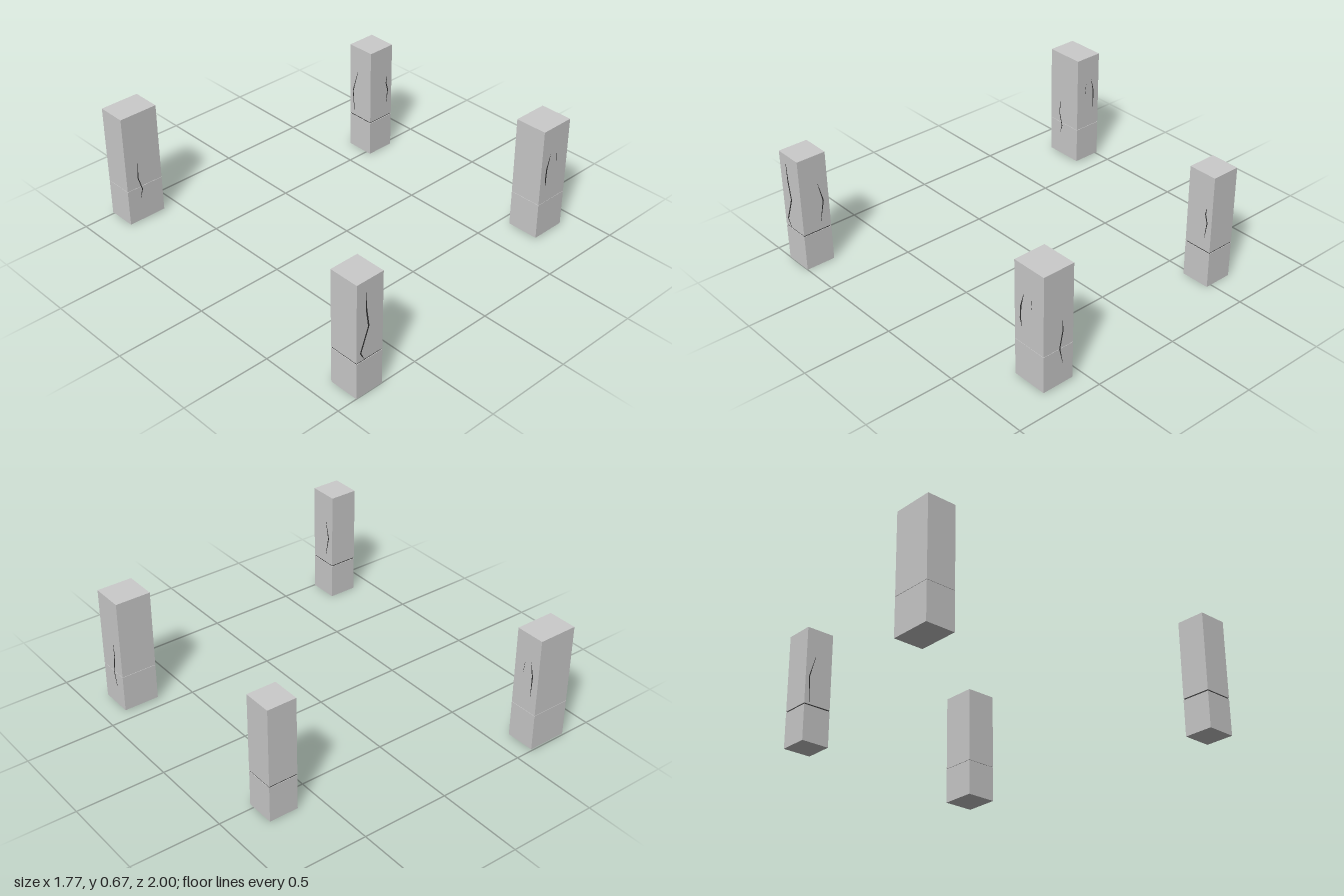
import * as THREE from 'three';

const stone = new THREE.MeshStandardMaterial({ color: 0xcccccc, flatShading: true });
const dark = new THREE.MeshStandardMaterial({ color: 0x333333, flatShading: true });

// x / z / y ranges of each post, height and width of its seam,
// and its cracks as [face, width, points (x or z, y)].
const POSTS = [
  { name: 'frontRightPost', x: [-0.885, -0.72], z: [0.83, 1], y: [0, 0.66], seam: [0.21, 0.007], cracks: [
    ['front', 0.008, [[-0.83, 0.61], [-0.825, 0.5], [-0.81, 0.395], [-0.86, 0.26], [-0.835, 0.212]]],
    ['left', 0.007, [[0.89, 0.49], [0.865, 0.38], [0.89, 0.26]]] ] },
  { name: 'backRightPost', x: [-0.82, -0.595], z: [-1, -0.835], y: [0.01, 0.67], seam: [0.22, 0.002], cracks: [
    ['front', 0.005, [[-0.74, 0.37], [-0.747, 0.28], [-0.725, 0.2], [-0.74, 0.15]]],
    ['left', 0.007, [[-0.943, 0.52], [-0.96, 0.44], [-0.958, 0.32]]],
    ['left', 0.005, [[-0.902, 0.5], [-0.895, 0.44]]] ] },
  { name: 'backLeftPost', x: [0.63, 0.797], z: [-0.635, -0.47], y: [0, 0.66], seam: [0.21, 0.007], cracks: [
    ['front', 0.006, [[0.76, 0.47], [0.753, 0.43], [0.767, 0.38], [0.755, 0.29]]],
    ['right', 0.006, [[-0.575, 0.5], [-0.612, 0.37], [-0.6, 0.225]]] ] },
  { name: 'frontLeftPost', x: [0.68, 0.882], z: [0.565, 0.75], y: [0.01, 0.67], seam: [0.22, 0.002], cracks: [
    ['front', 0.008, [[0.745, 0.51], [0.723, 0.43], [0.72, 0.36], [0.73, 0.32]]],
    ['front', 0.004, [[0.795, 0.51], [0.8, 0.45]]],
    ['left', 0.006, [[0.635, 0.39], [0.63, 0.32], [0.65, 0.22], [0.63, 0.13]]] ] },
];

function block(name, p, y0, y1, inset, material) {
  const w = p.x[1] - p.x[0] - 2 * inset, d = p.z[1] - p.z[0] - 2 * inset;
  const mesh = new THREE.Mesh(new THREE.BoxGeometry(w, y1 - y0, d), material);
  mesh.position.set((p.x[0] + p.x[1]) / 2, (y0 + y1) / 2, (p.z[0] + p.z[1]) / 2);
  mesh.name = name;
  return mesh;
}

// A thin jagged sliver, tapering to a point at each end, laid on one face
function crack(p, [face, width, points]) {
  const flip = face === 'left' ? -1 : 1;
  const last = points.length - 1;
  const side = (s) => points.map(([u, y], i) => {
    const half = i === 0 || i === last ? 0.0005 : width / 2;
    return new THREE.Vector2(u * flip + s * half, y);
  });
  const shape = new THREE.Shape([...side(-1), ...side(1).reverse()]);
  const geometry = new THREE.ExtrudeGeometry(shape, { depth: 0.002, bevelEnabled: false });
  const mesh = new THREE.Mesh(geometry, dark);
  mesh.name = face + 'Crack';
  if (face === 'front') mesh.position.z = p.z[1] - 0.001;
  if (face === 'left') { mesh.rotation.y = Math.PI / 2; mesh.position.x = p.x[1] - 0.001; }
  if (face === 'right') { mesh.rotation.y = -Math.PI / 2; mesh.position.x = p.x[0] + 0.001; }
  return mesh;
}

export function createModel() {
  const model = new THREE.Group();
  model.name = 'crackedPosts';
  for (const p of POSTS) {
    const post = new THREE.Group();
    post.name = p.name;
    const [seamY, seamWidth] = p.seam;
    const low = seamY - seamWidth / 2, high = seamY + seamWidth / 2;
    // Two stacked blocks with a shallow dark seam between them
    post.add(block('baseBlock', p, p.y[0], low, 0, stone));
    post.add(block('seam', p, low, high, 0.003, dark));
    post.add(block('shaft', p, high, p.y[1], 0, stone));
    for (const c of p.cracks) post.add(crack(p, c));
    model.add(post);
  }
  return model;
}
